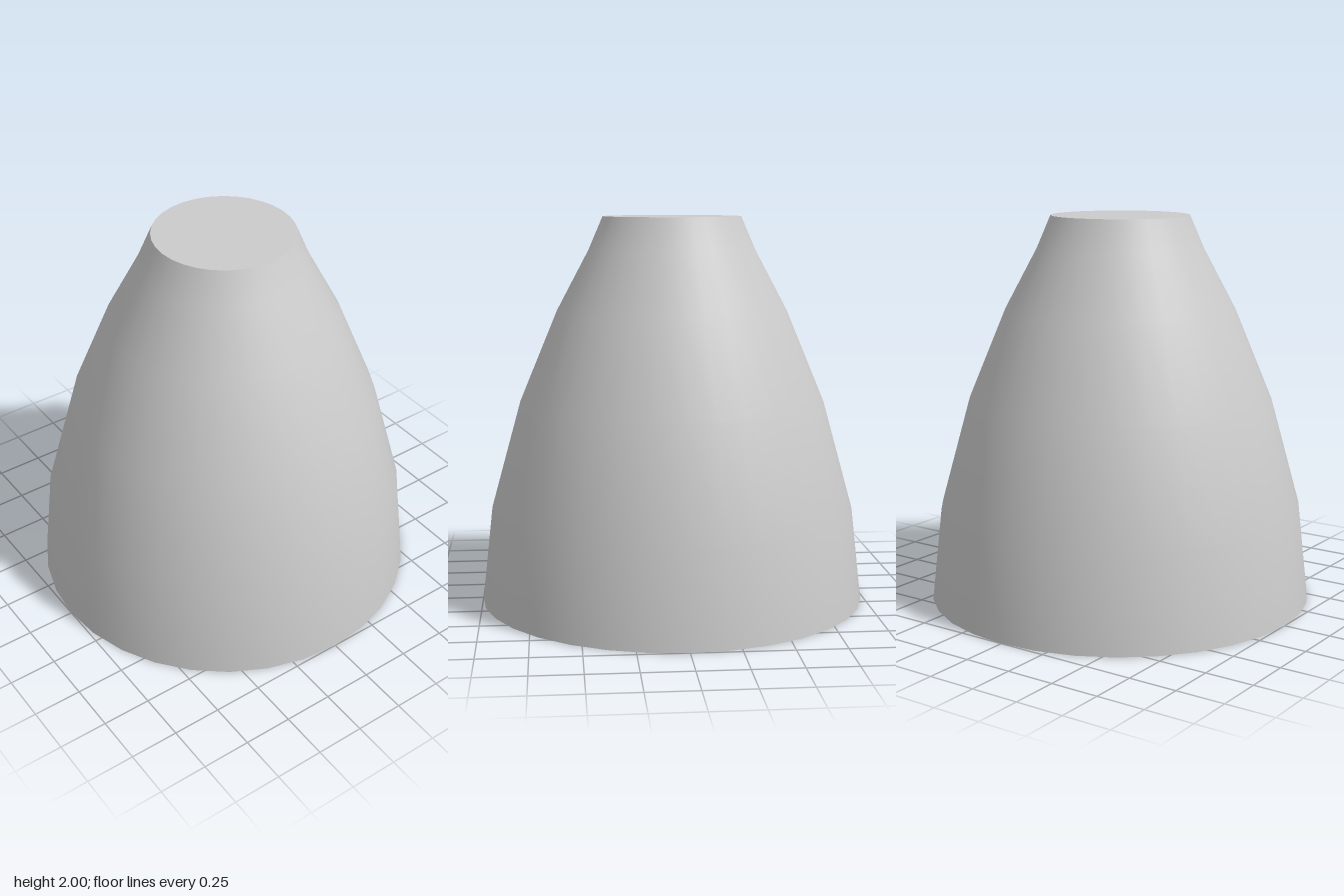
import * as THREE from 'three';

const SIDES = 32;

export function createModel() {
  const group = new THREE.Group();
  group.name = 'taperedBell';
  const material = new THREE.MeshStandardMaterial({ color: 0xcccccc });

  // Each surface is its own lathe, so the rims between them stay sharp.
  const addLathe = (name, profile) => {
    const points = profile.map(([r, y]) => new THREE.Vector2(r, y));
    const mesh = new THREE.Mesh(new THREE.LatheGeometry(points, SIDES), material);
    mesh.name = name;
    group.add(mesh);
  };

  // Curved outer wall, bottom to top
  const outer = [[1, 0], [0.945, 0.49], [0.79, 1.05], [0.595, 1.52], [0.43, 1.83], [0.357, 2]];
  // Hollow inside, following the outer wall at an even thickness, top to bottom
  const inner = [[0.25, 1.8], [0.4, 1.52], [0.6, 1.05], [0.755, 0.49], [0.81, 0]];

  addLathe('outerWall', outer);
  addLathe('topCap', [[0.357, 2], [0, 2]]);
  addLathe('innerCeiling', [[0, 1.8], [0.25, 1.8]]);
  addLathe('innerWall', inner);
  addLathe('bottomRim', [[0.81, 0], [1, 0]]);
  return group;
}
